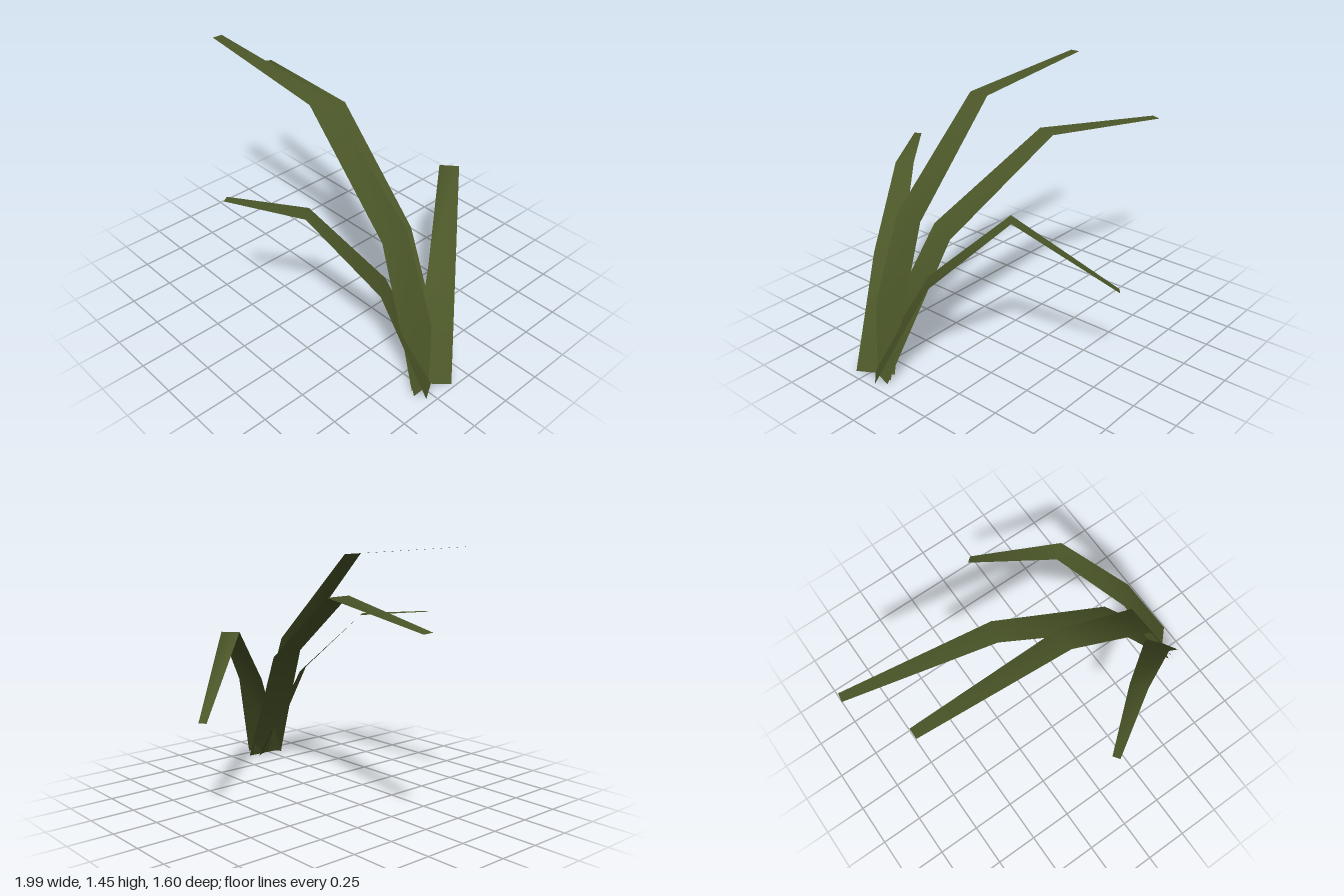
import * as THREE from 'three';

// One thin, bent leaf: each section is [right edge point, left edge point], base to tip
function leafBlade(name, sections, material) {
  const positions = sections.flat(2);
  const index = [];
  for (let i = 0; i < sections.length - 1; i++) {
    const r = i * 2, l = r + 1;
    index.push(l, r, r + 2, l, r + 2, l + 2);
  }
  const geometry = new THREE.BufferGeometry();
  geometry.setAttribute('position', new THREE.Float32BufferAttribute(positions, 3));
  geometry.setIndex(index);
  geometry.computeVertexNormals();
  const mesh = new THREE.Mesh(geometry, material);
  mesh.name = name;
  return mesh;
}

export function createModel() {
  const leafGreen = new THREE.MeshStandardMaterial({ color: 0x4b5628, side: THREE.DoubleSide });
  leafGreen.name = 'leafGreen';

  const blades = {
    // tallest blade, arching straight towards -x
    tallLeaf: [
      [[0.91, 0.01, 0.10], [0.91, 0.01, 0.335]],
      [[0.615, 0.825, 0.127], [0.615, 0.825, 0.302]],
      [[0.055, 1.37, 0.153], [0.055, 1.37, 0.277]],
      [[-0.81, 1.445, 0.18], [-0.81, 1.445, 0.24]],
    ],
    // longest blade, swinging slightly backwards
    longLeaf: [
      [[0.935, 0, 0.098], [0.88, 0.015, 0.32]],
      [[0.53, 0.73, 0], [0.48, 0.76, 0.163]],
      [[-0.14, 1.16, -0.147], [-0.18, 1.167, -0.027]],
      [[-0.99, 1.075, -0.303], [-1.0, 1.08, -0.25]],
    ],
    // back blade, with a drooping tip
    backLeaf: [
      [[0.99, 0.018, 0.132], [0.84, 0.018, 0.29]],
      [[0.783, 0.57, -0.08], [0.68, 0.57, 0.018]],
      [[0.50, 0.93, -0.395], [0.42, 0.93, -0.325]],
      [[0.125, 0.53, -0.803], [0.09, 0.53, -0.775]],
    ],
    // front blade, with a level tip
    frontLeaf: [
      [[0.86, 0.012, 0.12], [0.97, 0.012, 0.305]],
      [[0.62, 0.597, 0.278], [0.71, 0.597, 0.40]],
      [[0.295, 0.97, 0.50], [0.36, 0.97, 0.578]],
      [[-0.025, 1.0, 0.765], [0.0, 1.0, 0.80]],
    ],
  };

  const group = new THREE.Group();
  group.name = 'leafTuft';
  for (const [name, sections] of Object.entries(blades)) {
    group.add(leafBlade(name, sections, leafGreen));
  }
  return group;
}
